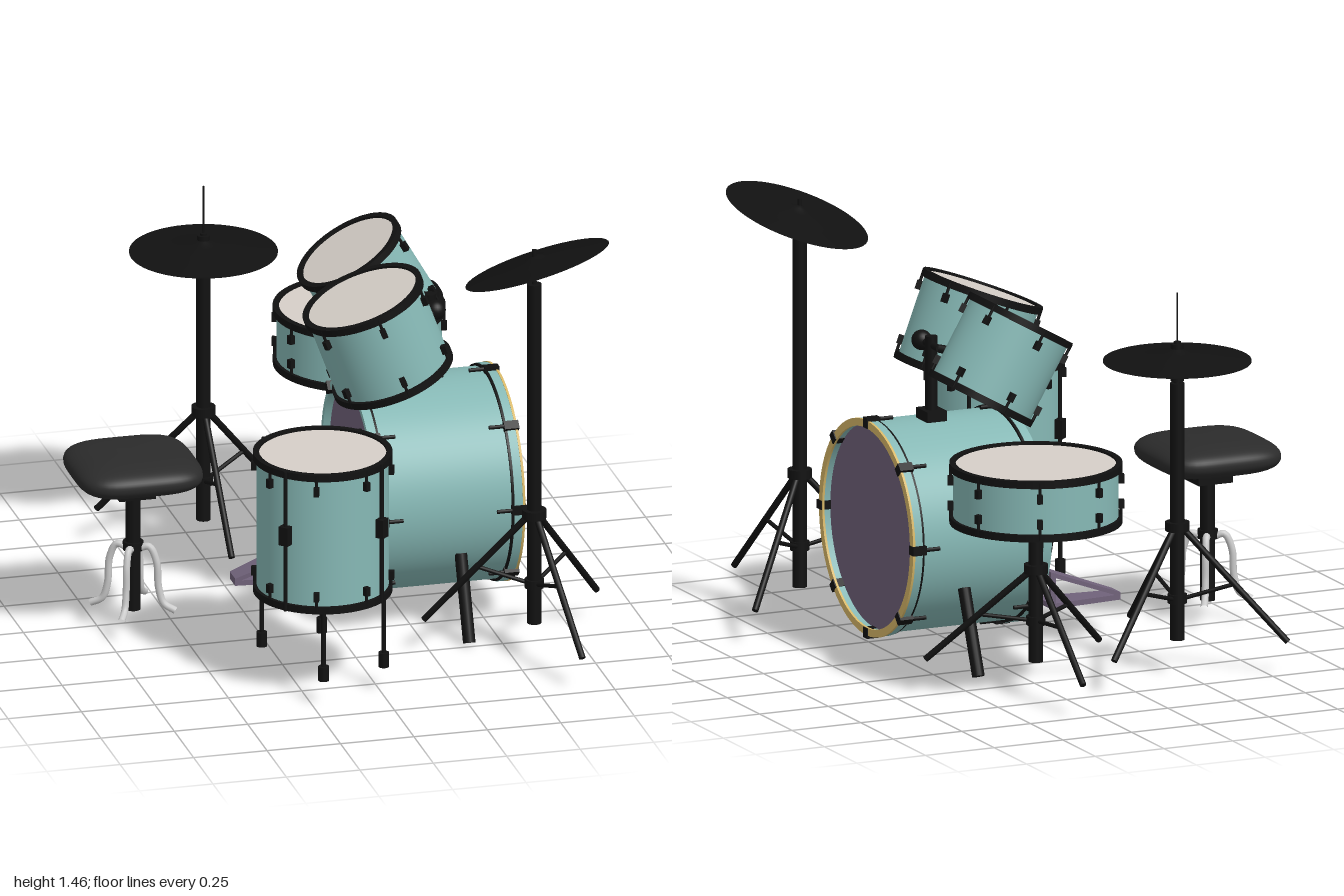
import * as THREE from 'three';

const mat = (color, side = THREE.FrontSide) => new THREE.MeshStandardMaterial({ color, side });
const BLACK = mat(0x111111), TEAL = mat(0x86b8b5, THREE.DoubleSide), SKIN = mat(0xd6cfc8, THREE.DoubleSide);
const PURPLE = mat(0x70627a, THREE.DoubleSide), GOLD = mat(0xd8b868, THREE.DoubleSide);
const LEATHER = mat(0x2b2b2b), METAL = mat(0xcccccc), CYMBAL = mat(0x111111, THREE.DoubleSide);
const V = (x, y, z) => new THREE.Vector3(x, y, z);

function add(parent, name, geo, material, x = 0, y = 0, z = 0) {
  const m = new THREE.Mesh(geo, material);
  m.name = name;
  m.position.set(x, y, z);
  parent.add(m);
  return m;
}
function group(parent, name, x = 0, y = 0, z = 0) {
  const g = new THREE.Group();
  g.name = name;
  g.position.set(x, y, z);
  parent.add(g);
  return g;
}
const cyl = (r, h, n = 24) => new THREE.CylinderGeometry(r, r, h, n);
// Rod between two points
function rod(parent, name, a, b, r, material = BLACK, n = 12) {
  const d = b.clone().sub(a), mid = a.clone().add(b).multiplyScalar(0.5);
  const m = add(parent, name, cyl(r, d.length(), n), material, mid.x, mid.y, mid.z);
  m.quaternion.setFromUnitVectors(V(0, 1, 0), d.normalize());
  return m;
}
// Solid ring with a rectangular section
function ring(parent, name, r0, r1, h, y, material) {
  const p = [[r0, 0], [r1, 0], [r1, 0], [r1, h], [r1, h], [r0, h], [r0, h], [r0, 0]];
  return add(parent, name, new THREE.LatheGeometry(p.map(q => new THREE.Vector2(...q)), 64), material, 0, y, 0);
}
// Calls fn with a group turned to each of n directions around y
function around(parent, name, n, start, fn) {
  for (let i = 0; i < n; i++) {
    const g = group(parent, name);
    g.rotation.y = -(start + (i * 360) / n) * Math.PI / 180;
    fn(g);
  }
}
function head(parent, name, r, y, up, material) {
  const m = add(parent, name, new THREE.CircleGeometry(r, 64), material, 0, y, 0);
  m.rotation.x = up ? -Math.PI / 2 : Math.PI / 2;
}

// Drum standing on its local y = 0
function drum(parent, name, r, h, x, y, z, lugs, start, longRods) {
  const g = group(parent, name, x, y, z), s = r - 0.012;
  add(g, 'shell', new THREE.CylinderGeometry(s, s, h - 0.02, 64, 1, true), TEAL, 0, h / 2, 0);
  head(g, 'topHead', s, h - 0.008, true, SKIN);
  head(g, 'bottomHead', s, 0.008, false, SKIN);
  for (const hy of [0, h - 0.024]) ring(g, 'hoop', r - 0.02, r, 0.024, hy, BLACK);
  around(g, 'tensionLug', lugs, start, l => {
    for (const sgn of [-1, 1]) {
      const ly = h / 2 + sgn * (h / 2 - 0.06);
      add(l, 'lug', new THREE.BoxGeometry(0.02, 0.03, 0.018), BLACK, s + 0.008, ly, 0);
      add(l, 'tensionRod', cyl(0.005, 0.06, 8), BLACK, s + 0.008, ly + sgn * 0.025, 0);
    }
  });
  if (longRods) around(g, 'longRod', 4, 47, l => {
    add(l, 'rod', cyl(0.007, h, 8), BLACK, r, h / 2, 0);
    add(l, 'bracket', new THREE.BoxGeometry(0.03, 0.065, 0.035), BLACK, r, h / 2 + 0.02, 0);
  });
  return g;
}

// Three-legged stand with a central pole
function stand(parent, name, x, z, top, start, joint) {
  const g = group(parent, name, x, 0, z);
  rod(g, 'pole', V(0, 0.12, 0), V(0, top, 0), 0.024, BLACK, 24);
  add(g, 'collar', cyl(0.04, 0.03), BLACK, 0, joint + 0.015, 0);
  add(g, 'lowerCollar', cyl(0.032, 0.03), BLACK, 0, 0.26, 0);
  around(g, 'standLeg', 3, start, l => {
    rod(l, 'leg', V(0.025, joint, 0), V(0.365, 0.12, 0), 0.011);
    rod(l, 'brace', V(0.02, 0.26, 0), V(0.19, joint - (joint - 0.12) * 0.48, 0), 0.007);
  });
  return g;
}

// Shallow cymbal with a raised bell
function cymbal(parent, name, r, rise, y) {
  const p = [[0, rise], [0.02, rise - 0.004], [0.045, rise * 0.55], [r * 0.6, rise * 0.28], [r, 0]];
  return add(parent, name, new THREE.LatheGeometry(p.map(q => new THREE.Vector2(...q)).reverse(), 64), CYMBAL, 0, y, 0);
}

function bassDrum(kit) {
  const g = group(kit, 'bassDrum', 0.09, 0.445, 0.065);
  g.rotation.z = -Math.PI / 2; // local y runs along +x
  add(g, 'shell', new THREE.CylinderGeometry(0.352, 0.352, 0.46, 96, 1, true), TEAL, 0, 0.25, 0);
  for (const y of [0, 0.47]) ring(g, 'hoop', 0.342, 0.362, 0.03, y, TEAL);
  for (const y of [0.03, 0.462]) ring(g, 'hoopSeam', 0.345, 0.36, 0.008, y, BLACK);
  ring(g, 'frontTrim', 0.338, 0.364, 0.008, 0.498, GOLD);
  head(g, 'frontHead', 0.345, 0.475, true, PURPLE);
  head(g, 'backHead', 0.345, 0.025, false, PURPLE);
  around(g, 'claws', 8, 0, c => {
    for (const s of [-1, 1]) {
      add(c, 'claw', new THREE.BoxGeometry(0.035, 0.05, 0.03), BLACK, 0.356, 0.25 + s * 0.235, 0);
      add(c, 'clawRod', cyl(0.007, 0.08, 8), BLACK, 0.364, 0.25 + s * 0.2, 0);
    }
  });
  for (const s of [-1, 1])
    rod(kit, 'spur', V(0.39, 0.29, 0.06 + s * 0.315), V(0.39, 0.015, 0.06 + s * 0.425), 0.021, BLACK, 16);
}

function tomMount(kit) {
  const g = group(kit, 'tomMount', 0.375, 0, 0.03);
  add(g, 'base', new THREE.BoxGeometry(0.07, 0.035, 0.09), BLACK, 0, 0.815, 0);
  rod(g, 'post', V(0, 0.8, 0), V(0, 1.08, 0), 0.021, BLACK, 20);
  rod(g, 'crossBar', V(0, 1.05, -0.06), V(0, 1.05, 0.09), 0.012);
  add(g, 'joint', new THREE.SphereGeometry(0.034, 24, 16), BLACK, 0, 1.05, 0.075);
  rod(g, 'frontArm', V(0, 1.05, 0.08), V(-0.09, 1.03, 0.15), 0.014);
  rod(g, 'backArm', V(0, 1.05, -0.06), V(-0.08, 1.04, -0.13), 0.014);
}

function stool(kit) {
  const g = group(kit, 'stool', -0.64, 0, 0.05);
  // Cushion: sphere pushed to a rounded square
  const seat = new THREE.SphereGeometry(1, 64, 32), p = seat.attributes.position;
  for (let i = 0; i < p.count; i++) {
    const x = p.getX(i), y = p.getY(i), z = p.getZ(i), q = Math.hypot(x, z);
    const c = q > 1e-6 ? q / Math.pow(x ** 4 + z ** 4, 0.25) : 1;
    const k = 0.212 * c * (q > 1e-6 ? Math.pow(q, -0.35) : 1);
    p.setXYZ(i, x * k, Math.sign(y) * Math.pow(Math.abs(y), 0.9) * 0.06, z * k);
  }
  seat.computeVertexNormals();
  add(g, 'seat', seat, LEATHER, 0, 0.575, 0);
  add(g, 'seatPlate', new THREE.BoxGeometry(0.125, 0.035, 0.125), BLACK, 0, 0.497, 0);
  rod(g, 'post', V(0, 0.075, 0), V(0, 0.5, 0), 0.025, BLACK, 20);
  add(g, 'collar', cyl(0.034, 0.03), BLACK, 0, 0.3, 0);
  const path = new THREE.CatmullRomCurve3([V(0.02, 0.29, 0), V(0.055, 0.3, 0), V(0.08, 0.25, 0),
    V(0.087, 0.16, 0), V(0.105, 0.105, 0), V(0.145, 0.083, 0)]);
  around(g, 'stoolLeg', 4, 30, l => add(l, 'leg', new THREE.TubeGeometry(path, 32, 0.012, 10), METAL));
}

function pedal(kit) {
  const g = group(kit, 'pedal', 0, 0, 0.025);
  // Tapered plate, wider towards the drum
  const plate = (name, y0, y1, t) => {
    const s = new THREE.Shape([[-0.295, -0.035], [-0.03, -0.06], [-0.03, 0.06], [-0.295, 0.035]].map(q => new THREE.Vector2(...q)));
    const geo = new THREE.ExtrudeGeometry(s, { depth: t, bevelEnabled: false }).rotateX(-Math.PI / 2);
    const p = geo.attributes.position;
    for (let i = 0; i < p.count; i++) p.setY(i, p.getY(i) + y0 + (y1 - y0) * (p.getX(i) + 0.295) / 0.265);
    geo.computeVertexNormals();
    add(g, name, geo, PURPLE);
  };
  plate('basePlate', 0.125, 0.125, 0.018);
  plate('footBoard', 0.135, 0.235, 0.015);
  for (const s of [-1, 1]) add(g, 'upright', new THREE.BoxGeometry(0.02, 0.12, 0.015), PURPLE, -0.04, 0.185, s * 0.05);
  rod(g, 'beaterRod', V(-0.035, 0.2, 0), V(-0.07, 0.4, 0), 0.007);
  add(g, 'beater', new THREE.SphereGeometry(0.034, 24, 16), BLACK, -0.07, 0.4, 0);
}

export function createModel() {
  const kit = new THREE.Group();
  kit.name = 'drumKit';
  bassDrum(kit);
  tomMount(kit);
  drum(kit, 'frontTom', 0.208, 0.31, 0.2, 0.88, 0.23, 6, 30).rotation.z = 20.5 * Math.PI / 180;
  drum(kit, 'backTom', 0.19, 0.31, 0.31, 0.902, -0.2, 6, 30).rotation.z = 30 * Math.PI / 180;

  // Floor tom on four straight legs
  const floorTom = drum(kit, 'floorTom', 0.23, 0.49, -0.157, 0.325, 0.667, 8, 20, true);
  for (const a of [40, 104, 220, 284]) {
    const x = 0.222 * Math.cos(a * Math.PI / 180), z = 0.222 * Math.sin(a * Math.PI / 180);
    rod(floorTom, 'leg', V(x, -0.22, z), V(x, 0.01, z), 0.008);
    add(floorTom, 'foot', cyl(0.018, 0.05, 16), BLACK, x, -0.21, z);
  }

  // Snare on its basket stand
  drum(kit, 'snare', 0.285, 0.205, 0.313, 0.592, -0.645, 8, 22.5);
  const snareStand = stand(kit, 'snareStand', 0.313, -0.645, 0.58, -90, 0.42);
  add(snareStand, 'basket', cyl(0.085, 0.03, 32), BLACK, 0, 0.575, 0);

  // Hi-hat: a facing pair of cymbals
  const hat = stand(kit, 'hiHat', -0.237, -0.57, 0.99, 90, 0.49);
  cymbal(hat, 'topCymbal', 0.245, 0.04, 1.067);
  cymbal(hat, 'bottomCymbal', 0.245, 0.04, 1.063).rotation.x = Math.PI;
  rod(hat, 'pullRod', V(0, 0.98, 0), V(0, 1.295, 0), 0.003);
  for (const y of [1.005, 1.115]) add(hat, 'clutch', cyl(0.022, 0.016), BLACK, 0, y, 0);
  add(hat, 'clutchNeck', cyl(0.012, 0.14), BLACK, 0, 1.06, 0);

  // Tilted crash cymbal
  const crash = stand(kit, 'crash', 0.575, 0.622, 1.315, 79, 0.49);
  const disc = cymbal(crash, 'crashCymbal', 0.248, 0.035, 1.38);
  disc.position.x = 0.01;
  disc.quaternion.setFromUnitVectors(V(0, 1, 0), V(-0.27, 1, -0.24).normalize());
  rod(crash, 'tiltRod', V(0, 1.3, 0), V(0, 1.435, 0), 0.008);

  stool(kit);
  pedal(kit);
  return kit;
}
